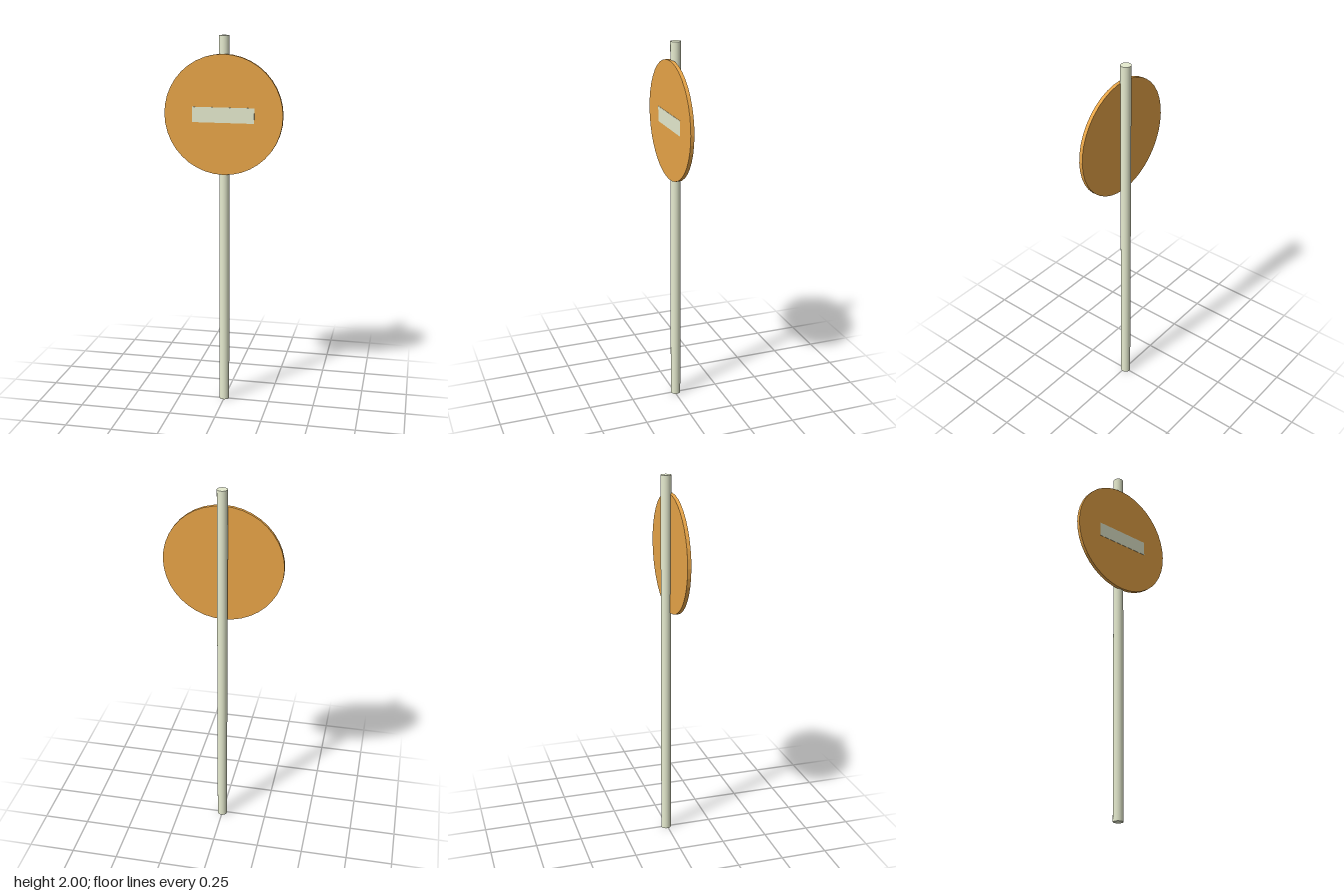
import * as THREE from 'three';

export function createModel() {
  const group = new THREE.Group();
  const cream = new THREE.MeshStandardMaterial({ color: 0xe6ebcf });
  const orange = new THREE.MeshStandardMaterial({ color: 0xe8a548, flatShading: true });

  const add = (name, geometry, material, x, y, z) => {
    const mesh = new THREE.Mesh(geometry, material);
    mesh.name = name;
    mesh.position.set(x, y, z);
    group.add(mesh);
  };

  // Round post, standing slightly behind the centre
  add('post', new THREE.CylinderGeometry(0.027, 0.027, 2, 32), cream, 0, 1, -0.006);

  // Faceted disc facing forward, its back sunk into the post
  const disc = new THREE.CylinderGeometry(0.313, 0.313, 0.019, 40).rotateX(Math.PI / 2);
  add('signDisc', disc, orange, 0, 1.594, 0.0205);

  // Thin horizontal bar on the disc's face
  add('signBar', new THREE.BoxGeometry(0.328, 0.08, 0.01), cream, 0, 1.595, 0.0265);

  return group;
}
